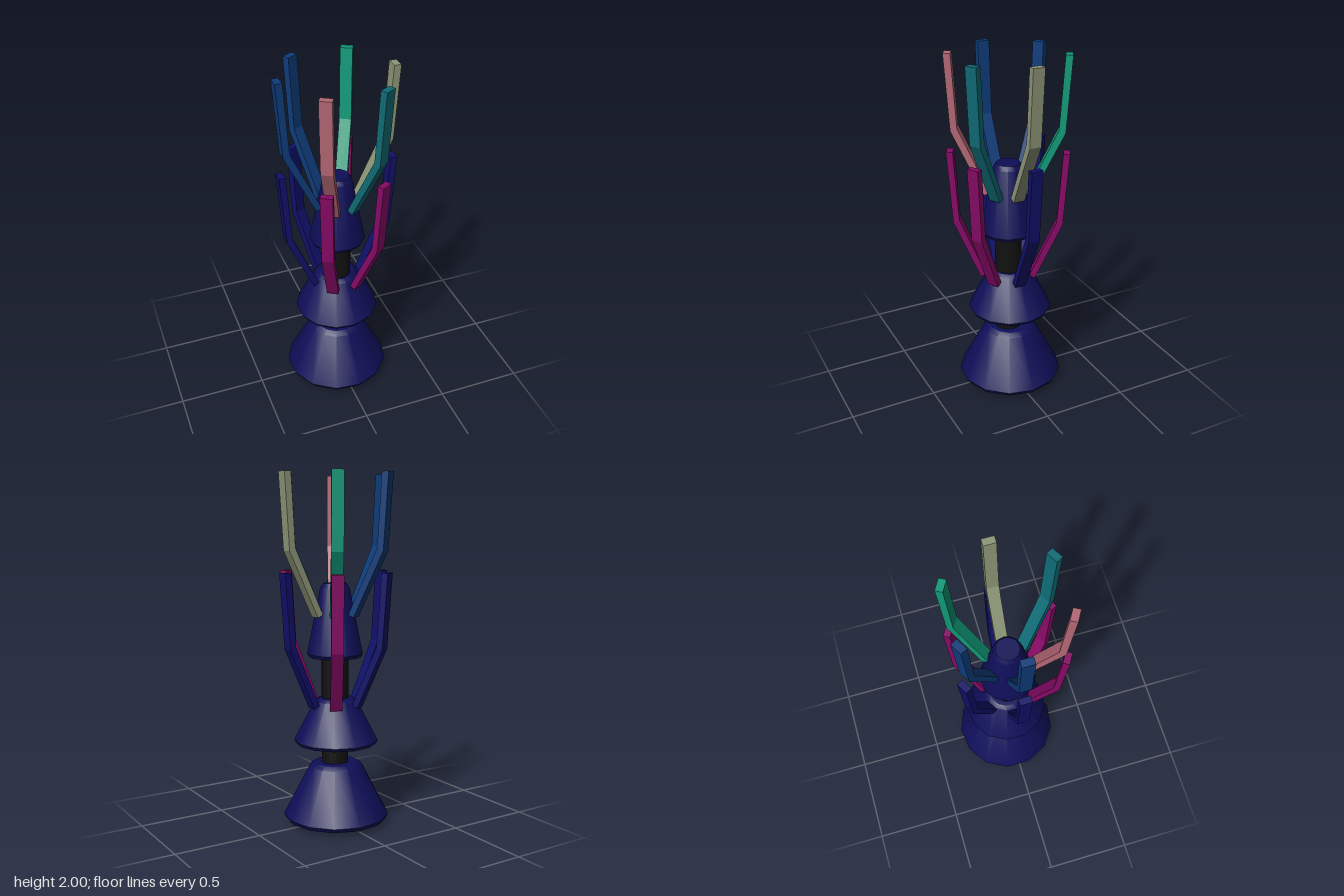
import * as THREE from 'three';
import { toCreasedNormals } from 'three/addons/utils/BufferGeometryUtils.js';

const NAVY = 0x0e0e58;

function mesh(name, geometry, color) {
  const m = new THREE.Mesh(geometry, new THREE.MeshStandardMaterial({ color }));
  m.name = name;
  return m;
}

// Thirteen-sided bevelled cone from [radius, height] pairs, listed bottom to top
function cone(name, profile, z = 0) {
  const points = profile.map(([r, y]) => new THREE.Vector2(r, y));
  const geometry = new THREE.LatheGeometry(points, 13, Math.PI / 2);
  const m = mesh(name, toCreasedNormals(geometry, 0.55), NAVY);
  m.position.z = z;
  return m;
}

// Six bent flat bars spread around the axis; profile is [radius, height]
function armRing(name, profile, colors) {
  const ring = new THREE.Group();
  ring.name = name;
  const width = 0.068;
  const shape = new THREE.Shape(profile.map(([r, y]) => new THREE.Vector2(r, y)));
  const geometry = new THREE.ExtrudeGeometry(shape, { depth: width, bevelEnabled: false });
  geometry.translate(0, 0, -width / 2);
  colors.forEach((color, i) => {
    const arm = mesh(name + 'Arm' + (i + 1), geometry, color);
    arm.rotation.y = i * Math.PI / 3;
    ring.add(arm);
  });
  return ring;
}

export function createModel() {
  const model = new THREE.Group();
  model.name = 'armedTower';

  // Central post
  const post = mesh('centralPost', new THREE.CylinderGeometry(0.077, 0.077, 1.1, 20), 0x111111);
  post.position.y = 0.55;
  model.add(post);

  // Two similar lower cones, the second at 80 percent
  const skirt = [[0.05, 0], [0.29, 0], [0.305, 0.025], [0.155, 0.31], [0.125, 0.33], [0.05, 0.33]];
  const place = (s, y0) => skirt.map(([r, y]) => [r * s, y * s + y0]);
  model.add(cone('baseCone', place(1, 0.025), -0.012));
  model.add(cone('middleCone', place(0.797, 0.47), -0.011));

  // Slim head cone
  model.add(cone('headCone', [
    [0.05, 0.97], [0.15, 0.97], [0.16, 0.99], [0.084, 1.365], [0.067, 1.39], [0, 1.39],
  ]));

  // Lower and upper rings of arms
  const navyArm = 0x10106a, magenta = 0x860a66, blue = 0x0e3c7a;
  model.add(armRing('lower', [
    [0.125, 0.7], [0.157, 0.684], [0.31, 1.03], [0.34, 1.455], [0.302, 1.455], [0.275, 1.045],
  ], [navyArm, magenta, navyArm, navyArm, magenta, magenta]));
  model.add(armRing('upper', [
    [0.1, 1.217], [0.133, 1.202], [0.312, 1.575], [0.34, 2], [0.3, 2], [0.275, 1.59],
  ], [0x8e9778, 0x109a78, blue, blue, 0xb46875, 0x0f6b76]));

  return model;
}
